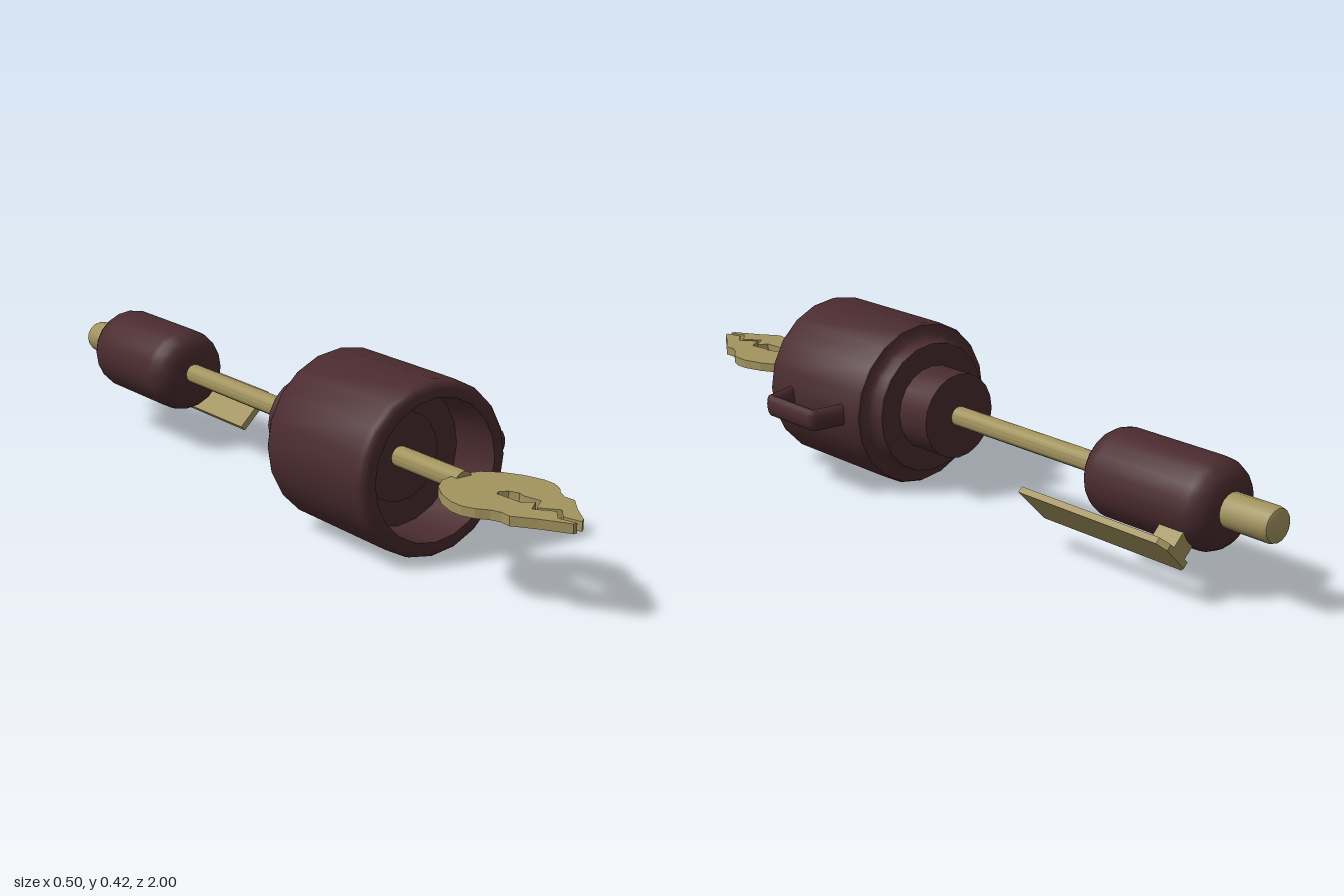
import * as THREE from 'three';
import { toCreasedNormals } from 'three/addons/utils/BufferGeometryUtils.js';

const AXIS_X = -0.047, AXIS_Y = 0.21;

export function createModel() {
  const root = new THREE.Group();
  root.name = 'skewerTool';
  // everything below is laid out around the rod's axis, which runs along z
  const body = new THREE.Group();
  body.name = 'body';
  body.position.set(AXIS_X, AXIS_Y, 0);
  root.add(body);

  const dark = new THREE.MeshStandardMaterial({ color: 0x4a2b2f });
  const brass = new THREE.MeshStandardMaterial({ color: 0xa3945f });

  const add = (name, geometry, material, parent = body) => {
    const mesh = new THREE.Mesh(geometry, material);
    mesh.name = name;
    parent.add(mesh);
    return mesh;
  };
  // turned part: pairs of radius and z, listed from back to front
  const turned = (pairs, sides) => {
    const g = new THREE.LatheGeometry(pairs.map(([r, z]) => new THREE.Vector2(r, z)), sides);
    g.rotateX(Math.PI / 2);
    return toCreasedNormals(g, 0.6);
  };
  const polygon = pairs => new THREE.Shape(pairs.map(([x, y]) => new THREE.Vector2(x, y)));

  // cup-shaped guard: neck, coved shoulder, barrel, rounded rim and hollow front
  add('guardCup', turned([
    [0, 0.02], [0.108, 0.02], [0.108, 0.12], [0.165, 0.12], [0.165, 0.13],
    [0.17, 0.145], [0.18, 0.155], [0.197, 0.16], [0.204, 0.162], [0.208, 0.17],
    [0.208, 0.508], [0.205, 0.52], [0.198, 0.528], [0.188, 0.532],
    [0.169, 0.532], [0.169, 0.395], [0.108, 0.395], [0.108, 0.4], [0, 0.4],
  ], 20), dark);

  // rounded grip
  const grip = [[0, -0.87]];
  for (const [z, start] of [[-0.81, -Math.PI / 2], [-0.55, 0]]) {
    for (let i = 0; i <= 5; i++) {
      const a = start + i * Math.PI / 10;
      grip.push([0.048 + 0.06 * Math.cos(a), z + 0.06 * Math.sin(a)]);
    }
  }
  grip.push([0, -0.49]);
  add('grip', turned(grip, 20), dark);

  // long rod and thicker end stub
  add('rod', turned([[0, -0.88], [0.025, -0.88], [0.025, 0.63], [0, 0.63]], 16), brass);
  add('endStub', turned([
    [0, -1], [0.033, -1], [0.039, -0.997], [0.042, -0.988], [0.042, -0.85], [0, -0.85],
  ], 16), brass);

  // side handle with an upright oval section, tilted slightly down
  const corners = [[0.18, 0.226], [0.28, 0.246], [0.28, 0.42], [0.18, 0.442]]
    .map(([x, z]) => new THREE.Vector3(x, 0, z));
  const path = new THREE.CurvePath();
  for (let i = 0; i < 3; i++) path.add(new THREE.LineCurve3(corners[i], corners[i + 1]));
  const handle = add('sideHandle',
    new THREE.TubeGeometry(path, 60, 0.016, 12).scale(1, 1.75, 1).rotateZ(-0.05), dark);
  handle.position.y = 0.006;

  // flat blade: left edge, zigzag slit with keyhole, right edge
  const edge = [[0.025, 0.612], [0.055, 0.62], [0.09, 0.652], [0.115, 0.695], [0.13, 0.745],
    [0.13, 0.78], [0.118, 0.81], [0.098, 0.835], [0.088, 0.86], [0.09, 0.888], [0.055, 0.935]];
  const slit = [[0.002, 1], [-0.01, 0.955], [0.018, 0.92], [-0.016, 0.88], [0.022, 0.85]];
  const keyhole = [[-0.012, 0.835], [-0.017, 0.76], [-0.005, 0.752], [0.015, 0.762],
    [0.025, 0.785], [0.02, 0.805]];
  const outline = [
    ...edge.map(([x, z]) => [-x, z]), [-0.015, 1],
    ...slit.map(([x, z]) => [x - 0.007, z]),
    ...keyhole,
    ...slit.map(([x, z]) => [x + 0.007, z]).reverse(),
    [0.022, 0.99], ...edge.slice().reverse(),
  ];
  const blade = new THREE.ExtrudeGeometry(polygon(outline), { depth: 0.022, bevelEnabled: false });
  add('blade', blade.rotateX(Math.PI / 2).translate(0, 0.012, 0), brass);

  // clip plate set diagonally beside the grip, with clipped rear corners and a foot
  const clip = new THREE.Group();
  clip.name = 'clip';
  clip.position.x = 0.011;
  clip.position.y = 0.011;
  clip.rotation.z = Math.PI / 4;
  body.add(clip);
  const plate = new THREE.ExtrudeGeometry(polygon([
    [-0.059, -0.37], [0.059, -0.37], [0.059, -0.8], [0.039, -0.82], [-0.039, -0.82], [-0.059, -0.8],
  ]), { depth: 0.016, bevelEnabled: false });
  add('clipPlate', plate.rotateX(Math.PI / 2).translate(0, -0.138, 0), brass, clip);
  add('clipFoot', new THREE.BoxGeometry(0.05, 0.06, 0.07).translate(0, -0.115, -0.785), brass, clip);

  return root;
}
